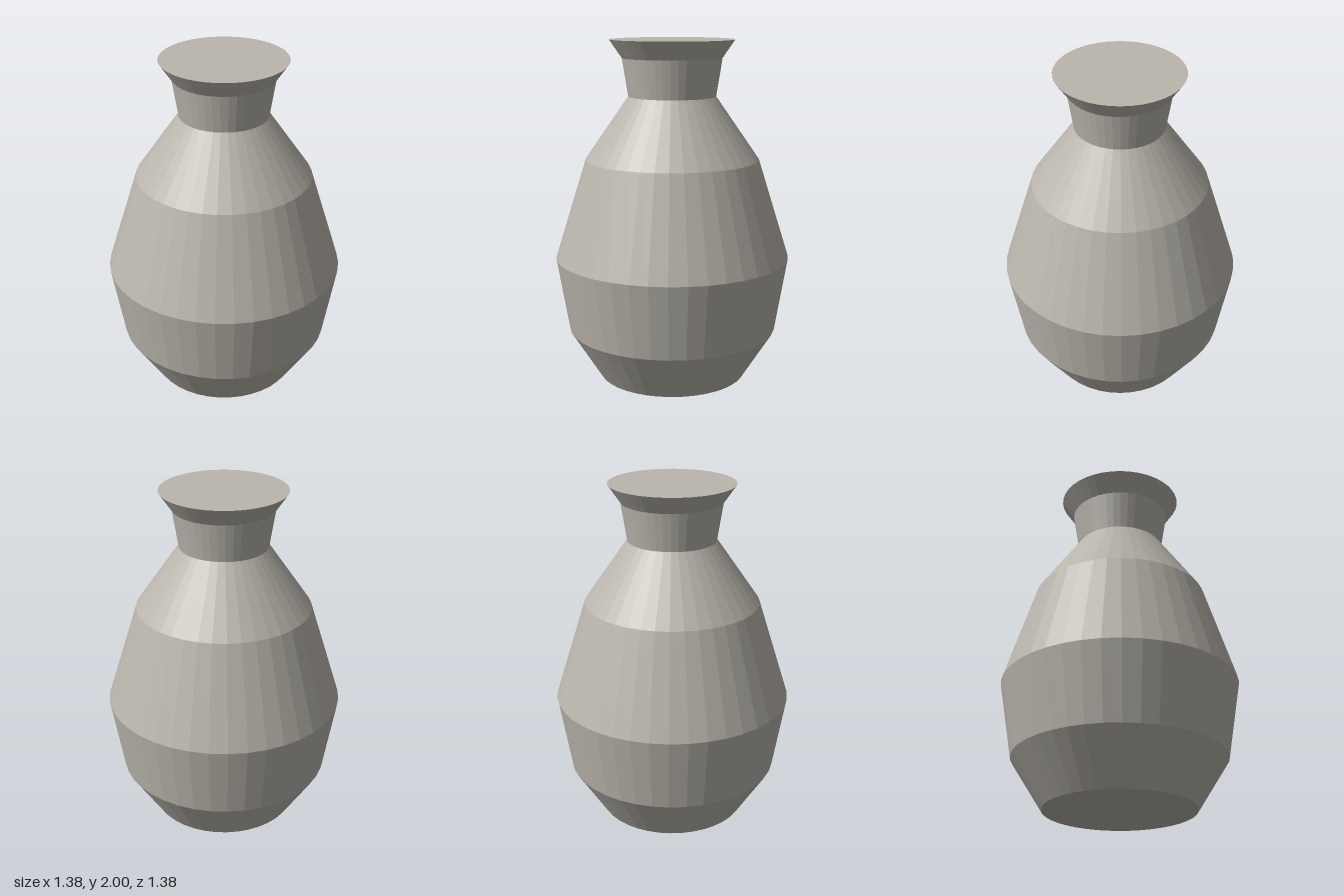
import * as THREE from 'three';

const SIDES = 40;

export function createModel() {
  const group = new THREE.Group();
  group.name = 'vase';

  const clay = new THREE.MeshStandardMaterial({ color: 0xbab6ad });
  clay.name = 'grey clay';
  clay.flatShading = true;

  // Turns a bottom-to-top profile of [radius, height] around the y axis
  const addTurned = (name, profile) => {
    const points = profile.map(([r, y]) => new THREE.Vector2(r, y));
    const mesh = new THREE.Mesh(new THREE.LatheGeometry(points, SIDES), clay);
    mesh.name = name;
    group.add(mesh);
  };

  // Closed base, faceted belly and sloping shoulder
  addTurned('body', [[0, 0], [0.435, 0], [0.617, 0.29], [0.69, 0.73], [0.508, 1.31], [0.255, 1.675]]);

  // Slightly widening neck
  addTurned('neck', [[0.255, 1.675], [0.29, 1.895]]);

  // Flared rim, closed with a flat top
  addTurned('rim', [[0.29, 1.895], [0.362, 2], [0, 2]]);

  return group;
}
